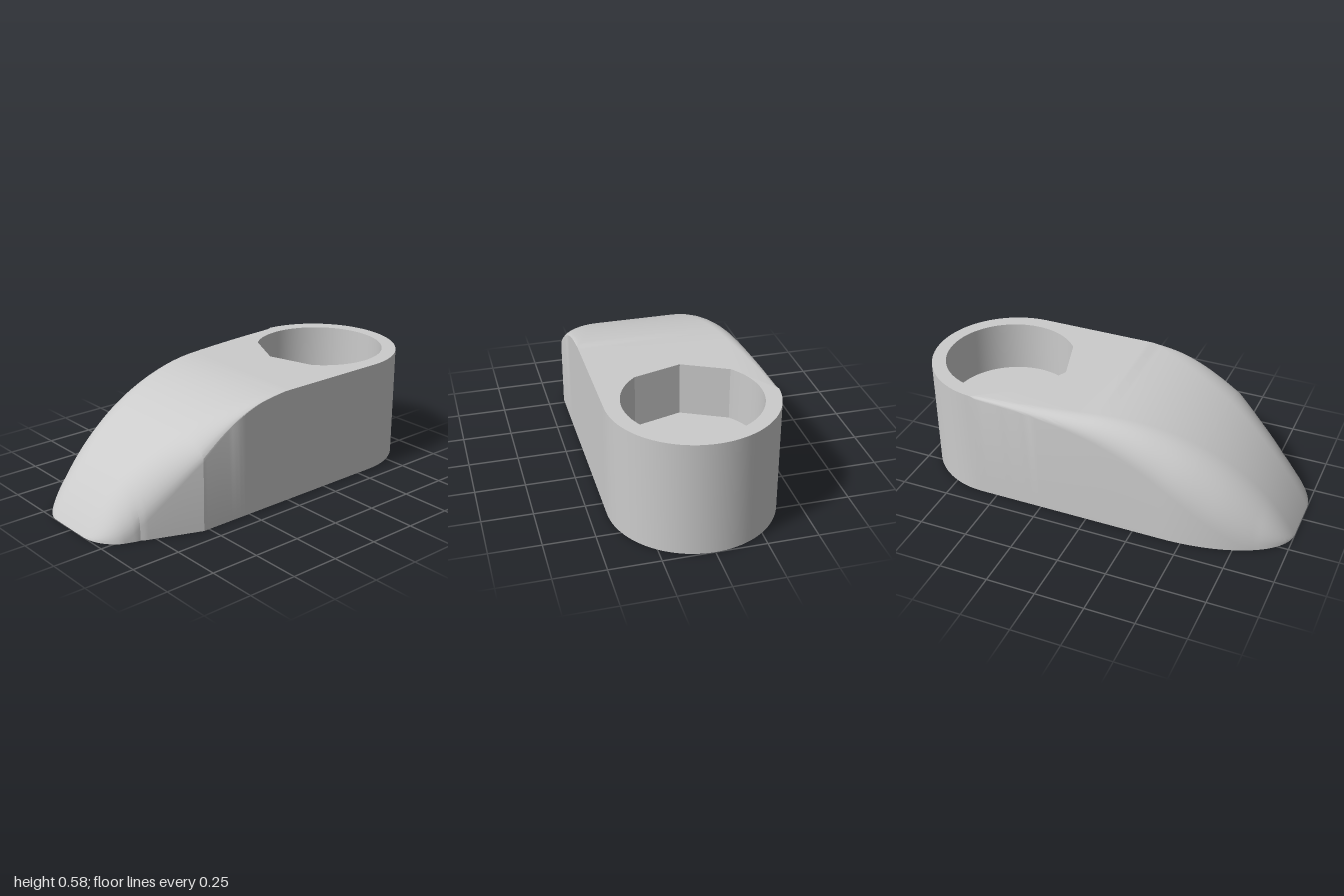
import * as THREE from 'three';
import { mergeGeometries, toCreasedNormals } from 'three/addons/utils/BufferGeometryUtils.js';

const W = 0.413, H = 0.58, BACK = -0.587, DEPTH = 0.27;
const R = (1 + H * H) / (2 * H); // radius of the sloping top

// Smooth curve through a few [z, value] points
function smooth(pts) {
  const slope = (i) => {
    const a = pts[Math.max(i - 1, 0)], b = pts[Math.min(i + 1, pts.length - 1)];
    return (b[1] - a[1]) / (b[0] - a[0]);
  };
  return (z) => {
    if (z <= pts[0][0]) return pts[0][1];
    const i = pts.findIndex((p) => p[0] >= z);
    if (i < 0) return pts[pts.length - 1][1];
    const [z0, v0] = pts[i - 1], [z1, v1] = pts[i], d = z1 - z0, t = (z - z0) / d;
    return v0 * (1 + 2 * t) * (1 - t) ** 2 + v1 * t * t * (3 - 2 * t)
      + slope(i - 1) * d * t * (1 - t) ** 2 - slope(i) * d * t * t * (1 - t);
  };
}

const height = (z) => (z <= 0 ? H : Math.max(0, H - R + Math.sqrt(R * R - z * z)));
const backWidth = (z) => W * Math.sqrt(Math.max(0, 1 - ((z - BACK) / (1 + BACK)) ** 2));

// Each side: plan half-width, top of its upright wall, and inner edge of its rounding
const left = {
  width(z) {
    if (z < BACK) return backWidth(z);
    const line = z < 0.53 ? W : W - (z - 0.53) * 0.38;
    if (z <= 0.8) return line;
    return Math.min(line, 0.1 + 0.2 * Math.sqrt(Math.max(0, 1 - ((z - 0.8) / 0.2) ** 2)));
  },
  wall: smooth([[0.03, 0.58], [0.2, 0.552], [0.35, 0.485], [0.53, 0.35], [0.7, 0.18], [0.9, 0], [1, 0]]),
  inner: smooth([[0.03, W], [0.25, 0.31], [0.53, 0.22], [0.8, 0.13], [1, 0.1]]),
};
const right = {
  width(z) {
    if (z < BACK) return backWidth(z);
    return z < 0.4 ? W : 0.13 + (W - 0.13) * Math.sqrt(Math.max(0, 1 - ((z - 0.4) / 0.6) ** 2));
  },
  wall: smooth([[-0.6, 0.57], [-0.3, 0.545], [0, 0.49], [0.27, 0.38], [0.45, 0.265], [0.65, 0.12], [0.85, 0], [1, 0]]),
  inner: smooth([[-0.6, 0.395], [-0.3, 0.365], [0, 0.32], [0.5, 0.21], [0.8, 0.15], [1, 0.13]]),
};

// Half cross-section from the floor up to the inner edge of the rounding
const STEPS = 10;
function halfSection(side, sign, z) {
  const w = side.width(z), h = height(z);
  const wall = z < BACK ? h : THREE.MathUtils.clamp(side.wall(z), 0, h);
  const inner = z < BACK ? w : Math.min(w, side.inner(z));
  const pts = [new THREE.Vector3(sign * w, 0, z)];
  for (let i = 0; i <= STEPS; i++) {
    const a = (i / STEPS) * Math.PI / 2;
    pts.push(new THREE.Vector3(sign * (inner + (w - inner) * Math.cos(a)), wall + (h - wall) * Math.sin(a), z));
  }
  return pts;
}

// Adds a four-cornered face, leaving out triangles without area
function quad(out, a, b, c, d) {
  for (const [p, q, r] of [[a, b, c], [a, c, d]]) {
    const area = q.clone().sub(p).cross(r.clone().sub(p)).length();
    if (area > 1e-9) out.push(p, q, r);
  }
}

const fromTriangles = (pts) => new THREE.BufferGeometry().setFromPoints(pts);

// Flat horizontal face from a shape drawn in x and -z
function flat(shape, y) {
  const g = new THREE.ShapeGeometry(shape, 72).rotateX(-Math.PI / 2).translate(0, y, 0).toNonIndexed();
  g.deleteAttribute('uv');
  return g;
}

// Round socket outline with a blunt point towards the front
function socketOutline(target) {
  const cy = 0.597;
  const a0 = Math.atan2(0.34 - cy, 0.21), a1 = Math.atan2(0.38 - cy, -0.25) + 2 * Math.PI;
  target.absarc(0, cy, 0.333, a0, a1, false);
  target.lineTo(-0.03, 0.27);
  target.closePath();
  return target;
}

function bodyGeometry() {
  // Stations from back to front, closer together at both ends
  const zs = [0.53];
  for (let i = 0; i < 24; i++) zs.push(BACK - (1 + BACK) * Math.cos((i / 24) * Math.PI / 2));
  for (let i = 0; i < 16; i++) zs.push(BACK * (1 - i / 16));
  for (let i = 0; i <= 56; i++) zs.push(Math.sin((i / 56) * Math.PI / 2));
  zs.sort((a, b) => a - b);
  const rings = zs.map((z) => [...halfSection(left, 1, z), ...halfSection(right, -1, z).reverse()]);

  // Walls, roundings, underside and sloping top
  const tris = [], n = rings[0].length, mid = STEPS + 1;
  for (let k = 0; k + 1 < rings.length; k++) {
    for (let i = 0; i < n; i++) {
      if (i === mid && zs[k + 1] <= 1e-9) continue; // flat top is added below
      const j = (i + 1) % n;
      quad(tris, rings[k][i], rings[k][j], rings[k + 1][j], rings[k + 1][i]);
    }
  }

  // Flat top with the socket opening
  const flatRings = rings.filter((r, k) => zs[k] <= 1e-9);
  const edge = [
    ...flatRings.slice(1).map((r) => r[mid + 1]).reverse(),
    ...flatRings.map((r) => r[mid]),
  ].map((p) => new THREE.Vector2(p.x, -p.z));
  const shape = new THREE.Shape(edge);
  shape.holes.push(socketOutline(new THREE.Path()));
  const top = flat(shape, H);
  top.deleteAttribute('normal');
  return toCreasedNormals(mergeGeometries([fromTriangles(tris), top]), 0.33);
}

function socketWallGeometry() {
  const pts = socketOutline(new THREE.Path()).getPoints(72), tris = [];
  const at = (p, y) => new THREE.Vector3(p.x, y, -p.y);
  for (let i = 0; i < pts.length; i++) {
    const p = pts[i], q = pts[(i + 1) % pts.length];
    quad(tris, at(p, H), at(q, H), at(q, H - DEPTH), at(p, H - DEPTH));
  }
  return toCreasedNormals(fromTriangles(tris), 0.33);
}

export function createModel() {
  const group = new THREE.Group();
  const grey = new THREE.MeshStandardMaterial({ color: 0xcccccc });
  const inside = new THREE.MeshStandardMaterial({ color: 0xcccccc, side: THREE.DoubleSide });
  const add = (name, geometry, material) => {
    const mesh = new THREE.Mesh(geometry, material);
    mesh.name = name;
    group.add(mesh);
  };
  add('body', bodyGeometry(), grey);
  add('socketWall', socketWallGeometry(), inside);
  add('socketFloor', flat(socketOutline(new THREE.Shape()), H - DEPTH), grey);
  return group;
}
